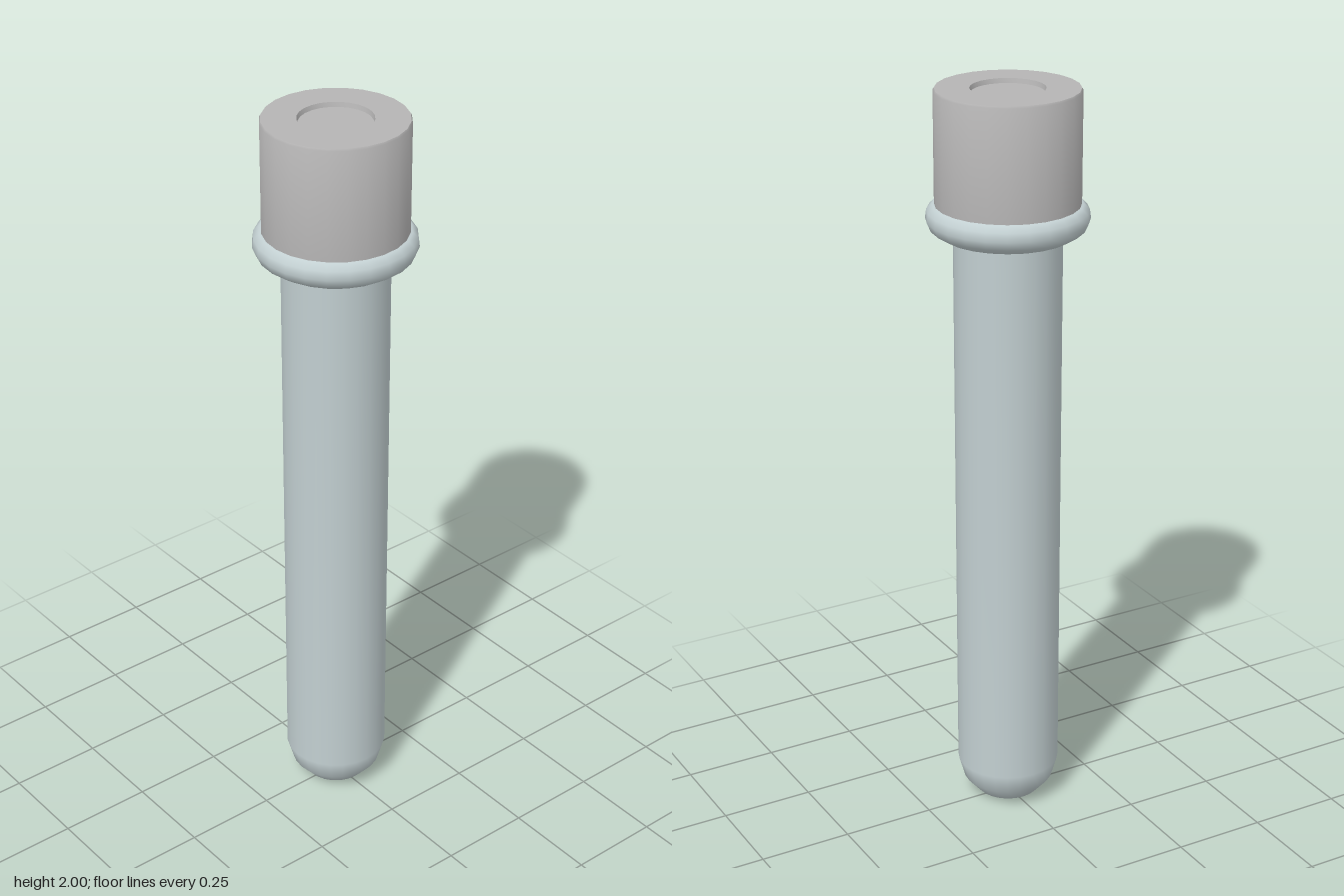
import * as THREE from 'three';
import { toCreasedNormals } from 'three/addons/utils/BufferGeometryUtils.js';

const SIDES = 24;

// Turned part from [radius, height] pairs, running up the outside
function turned(name, profile, color, crease) {
  let geometry = new THREE.LatheGeometry(profile.map(([r, y]) => new THREE.Vector2(r, y)), SIDES);
  if (crease) geometry = toCreasedNormals(geometry, crease);
  const mesh = new THREE.Mesh(geometry, new THREE.MeshStandardMaterial({ color }));
  mesh.name = name;
  return mesh;
}

export function createModel() {
  const group = new THREE.Group();
  group.name = 'stopperedTestTube';

  // Glass: rounded bottom, long wall, rolled lip, then back down the inner wall
  group.add(turned('glassTube', [
    [0, 0.005], [0.04, 0.005], [0.085, 0.018], [0.122, 0.055], [0.138, 0.11],
    [0.14, 1.615],
    [0.172, 1.624], [0.2, 1.642], [0.21, 1.665], [0.207, 1.688], [0.192, 1.703], [0.165, 1.706],
    [0.13, 1.7], [0.12, 1.67],
    [0.12, 0.12], [0.1, 0.06], [0.06, 0.032], [0, 0.025],
  ].map(([r, y]) => [r, y < 0.02 ? Math.max(0, y - 0.005) : y]), 0xc3d0d2));

  // Stopper: plug inside the neck, wide cap, shallow round recess on top
  group.add(turned('stopper', [
    [0, 1.45], [0.112, 1.45], [0.118, 1.7],
    [0.187, 1.7], [0.187, 1.995], [0.184, 2],
    [0.096, 2], [0.093, 1.988], [0, 1.988],
  ], 0xb5b4b4, 0.6));

  return group;
}
